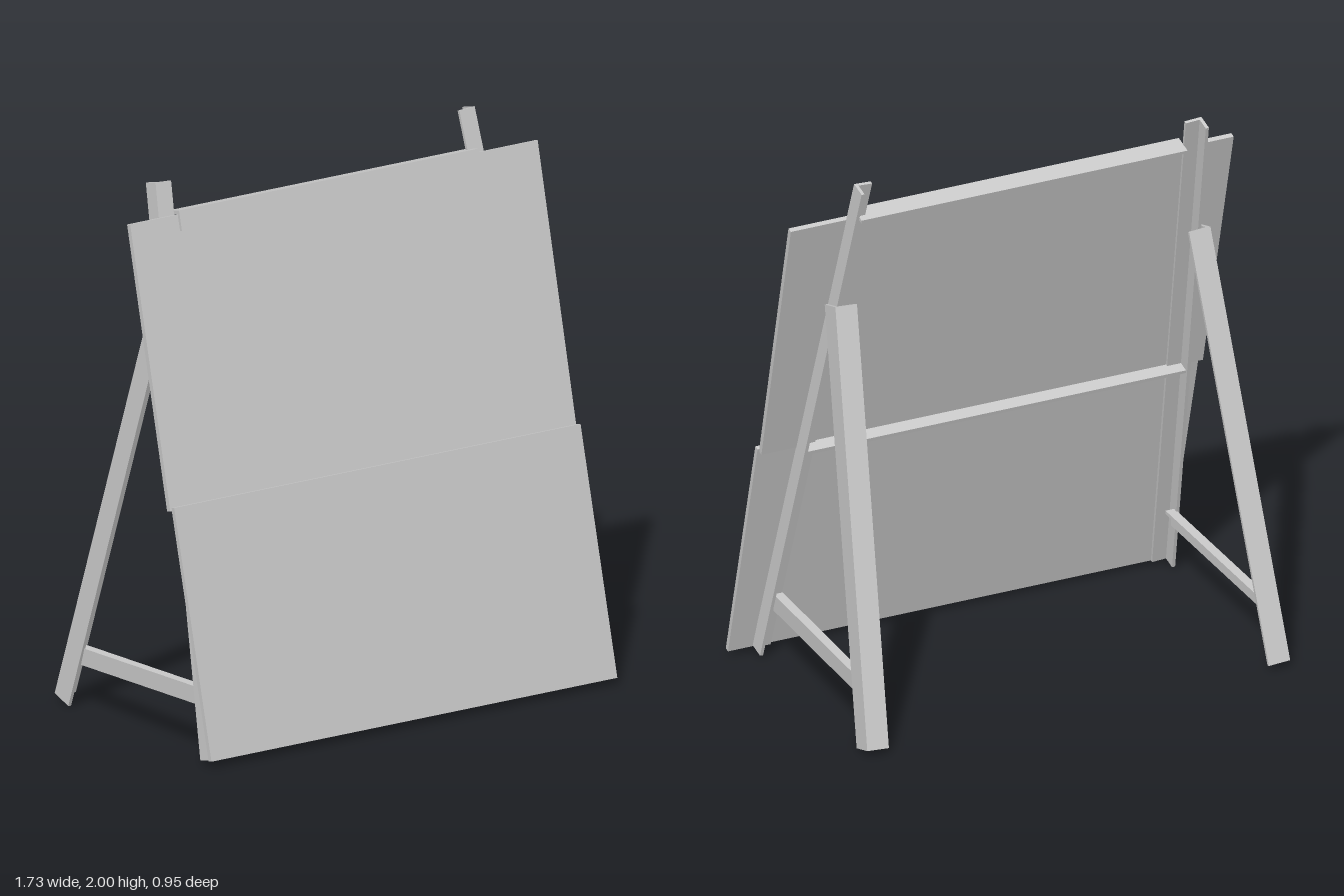
import * as THREE from 'three';

const material = new THREE.MeshStandardMaterial({ color: 0xcccccc, flatShading: true });
const T = 0.012; // sheet thickness of the angle bars
const LEAN = 0.259; // backward lean of the board

// L-section bar whose outer corner runs from a to b; one flange spans w along u,
// the other spans d along (direction x u). Signs choose the side.
function angleBar(name, a, b, u, w, d) {
  const start = new THREE.Vector3(...a);
  const dir = new THREE.Vector3(...b).sub(start);
  const length = dir.length();
  dir.normalize();
  const side = new THREE.Vector3(...u).addScaledVector(dir, -dir.dot(new THREE.Vector3(...u))).normalize();
  const depth = new THREE.Vector3().crossVectors(dir, side);
  const tw = T * Math.sign(w), td = T * Math.sign(d);
  const section = new THREE.Shape(
    [[0, 0], [w, 0], [w, td], [tw, td], [tw, d], [0, d]].map(p => new THREE.Vector2(...p)));
  const geometry = new THREE.ExtrudeGeometry(section, { depth: length, bevelEnabled: false });
  geometry.applyMatrix4(new THREE.Matrix4().makeBasis(side, depth, dir).setPosition(start));
  const mesh = new THREE.Mesh(geometry, material);
  mesh.name = name;
  return mesh;
}

// Slightly out-of-square sheet given by its four corners
function panel(name, corners, thickness) {
  const shape = new THREE.Shape(corners.map(p => new THREE.Vector2(...p)));
  const mesh = new THREE.Mesh(
    new THREE.ExtrudeGeometry(shape, { depth: thickness, bevelEnabled: false }), material);
  mesh.name = name;
  return mesh;
}

export function createModel() {
  const model = new THREE.Group();
  model.name = 'standingBoard';

  // Leaning board: the lower sheet laps over the foot of the upper one
  const board = new THREE.Group();
  board.name = 'board';
  board.position.z = 0.458;
  board.rotation.x = -LEAN;
  const upper = panel('upperPanel', [[-0.865, 0.9], [0.842, 0.9], [0.855, 1.91], [-0.857, 1.91]], 0.02);
  const lower = panel('lowerPanel', [[-0.845, 0], [0.86, 0], [0.85, 0.896], [-0.857, 0.896]], 0.018);
  lower.position.y = 0.016;
  lower.rotation.x = 0.02;
  board.add(upper, lower);
  model.add(board);

  // Posts, rear legs and braces; the two sides are slightly uneven
  const X = [1, 0, 0];
  const sides = [
    { name: 'left', s: 1, post: [0.765, 0.63], postTop: [2.0, -0.07], leg: [0.78, 0.68],
      brace: [0.755, 0.735], braceY: [0.245, 0.255] },
    { name: 'right', s: -1, post: [-0.84, -0.717], postTop: [1.966, -0.061], leg: [-0.855, -0.77],
      brace: [-0.835, -0.815], braceY: [0.218, 0.252] },
  ];
  for (const { name, s, post, postTop, leg, brace, braceY } of sides) {
    model.add(
      angleBar(name + 'Post', [post[0], 0.02, 0.455], [post[1], ...postTop], X, -s * 0.065, 0.062),
      angleBar(name + 'RearLeg', [leg[0], 0.022, -0.48], [leg[1], 1.515, -0.025], X, -s * 0.083, -0.088),
      angleBar(name + 'Brace', [brace[0], braceY[0], -0.36], [brace[1], braceY[1], 0.35], X, -s * 0.035, -0.063));
  }

  // Cross rails: a cap over the top edge and a stiffener behind the seam
  const up = [0, Math.cos(LEAN), -Math.sin(LEAN)];
  model.add(
    angleBar('topRail', [-0.66, 1.87, 0.0], [0.6, 1.87, 0.0], up, -0.072, -0.072),
    angleBar('middleRail', [-0.775, 0.885, 0.222], [0.69, 0.885, 0.222], up, -0.05, -0.05));

  return model;
}
